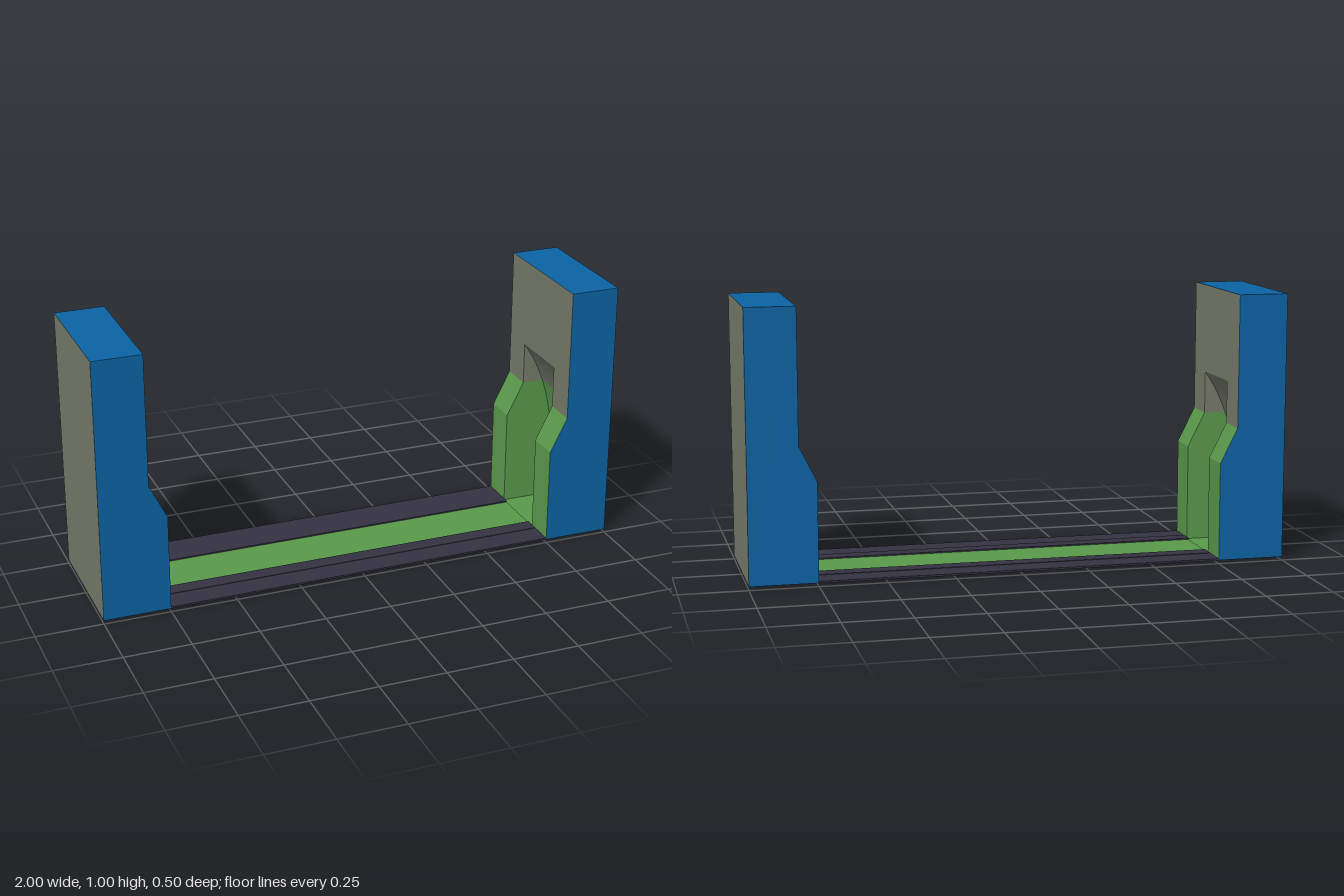
import * as THREE from 'three';

const mat = (name, color) =>
  new THREE.MeshStandardMaterial({ name, color, side: THREE.DoubleSide });

const BASE = 0.013, KNEE = 0.38, LEDGE = 0.51, ARCH = 0.67, TOP = 1.005;
const FOOT = 0.75, NECK = 0.815, DEPTH = 0.25, NICHE = 0.125, BACK = 0.95;

export function createModel() {
  const blue = mat('blue', 0x0c63a4);
  const green = mat('green', 0x5a994b);
  const grey = mat('olive grey', 0x767b6a);
  const dark = mat('dark violet', 0x343242);
  const model = new THREE.Group();
  model.name = 'gateFrame';

  const add = (parent, name, geometry, material) => {
    const mesh = new THREE.Mesh(geometry, material);
    mesh.name = name;
    parent.add(mesh);
    return mesh;
  };

  // Sheet swept along z from a path of [x, y] points
  const ribbon = (path, z0, z1, smooth = false) => {
    const pos = [], idx = [];
    path.forEach(([x, y], i) => {
      pos.push(x, y, z0, x, y, z1);
      if (i) {
        const a = 2 * i - 2;
        idx.push(a, a + 1, a + 2, a + 1, a + 3, a + 2);
      }
    });
    let g = new THREE.BufferGeometry();
    g.setAttribute('position', new THREE.Float32BufferAttribute(pos, 3));
    g.setIndex(idx);
    if (!smooth) g = g.toNonIndexed();
    g.computeVertexNormals();
    return g;
  };

  // Flat panel in the xy plane at depth z
  const panel = (points, z) =>
    new THREE.ShapeGeometry(
      new THREE.Shape(points.map(([x, y]) => new THREE.Vector2(x, y)))).translate(0, 0, z);

  // Back of the niche leans forward in a smooth curve to meet its upper rim
  const nicheCurve = (s, y0, y1, n = 14) =>
    Array.from({ length: n + 1 }, (_, i) => {
      const y = y0 + (y1 - y0) * i / n;
      return [s * (BACK - (BACK - NECK) * Math.pow(y / ARCH, 3.5)), y];
    });

  for (const s of [1, -1]) {
    const post = new THREE.Group();
    post.name = s > 0 ? 'leftPost' : 'rightPost';
    model.add(post);
    const at = (pts) => pts.map(([x, y]) => [s * x, y]);
    const slope = at([[FOOT, BASE], [FOOT, KNEE], [NECK, LEDGE]]);
    const outline = [...slope, ...at([[NECK, TOP], [1, TOP], [1, BASE]])];

    // Hollow shell, open underneath
    add(post, 'frontWall', panel(outline, DEPTH), blue);
    add(post, 'backWall', panel(outline, -DEPTH), blue);
    add(post, 'topCap', ribbon(at([[NECK, TOP], [1, TOP]]), -DEPTH, DEPTH), blue);
    add(post, 'outerWall', ribbon(at([[1, BASE], [1, TOP]]), -DEPTH, DEPTH), grey);
    add(post, 'innerWallUpper', ribbon(at([[NECK, ARCH], [NECK, TOP]]), -DEPTH, DEPTH), grey);

    // Jambs and niche cheeks on both sides of the opening
    const lowCurve = nicheCurve(s, BASE, LEDGE);
    const highCurve = nicheCurve(s, LEDGE, ARCH);
    for (const k of [1, -1]) {
      add(post, 'jambLower', ribbon(slope, k * NICHE, k * DEPTH), green);
      add(post, 'jambUpper',
        ribbon(at([[NECK, LEDGE], [NECK, ARCH]]), k * NICHE, k * DEPTH), grey);
      add(post, 'nicheCheekLower', panel([...slope, ...[...lowCurve].reverse()], k * NICHE), green);
      add(post, 'nicheCheekUpper',
        panel([[s * NECK, LEDGE], ...[...highCurve].reverse()], k * NICHE), grey);
    }
    add(post, 'nicheBackLower', ribbon(lowCurve, -NICHE, NICHE, true), green);
    add(post, 'nicheBackUpper', ribbon(highCurve, -NICHE, NICHE, true), grey);
    add(post, 'nicheFloor', ribbon(at([[FOOT, BASE], [BACK, BASE]]), -NICHE, NICHE), green);
  }

  // Floor track between the posts
  const bar = (name, y0, y1, z0, z1, length, material) =>
    add(model, name, new THREE.BoxGeometry(length, y1 - y0, z1 - z0)
      .translate(0, (y0 + y1) / 2, (z0 + z1) / 2), material);
  bar('floorStrip', 0.001, 0.016, -0.097, 0.097, 1.496, green);
  for (const k of [1, -1]) {
    const span = (a, b) => (k > 0 ? [a, b] : [-b, -a]);
    bar('innerRail', 0, 0.021, ...span(0.097, 0.157), 1.496, dark);
    bar('outerRail', 0.012, 0.019, ...span(0.157, 0.249), 1.499, dark);
  }
  return model;
}
